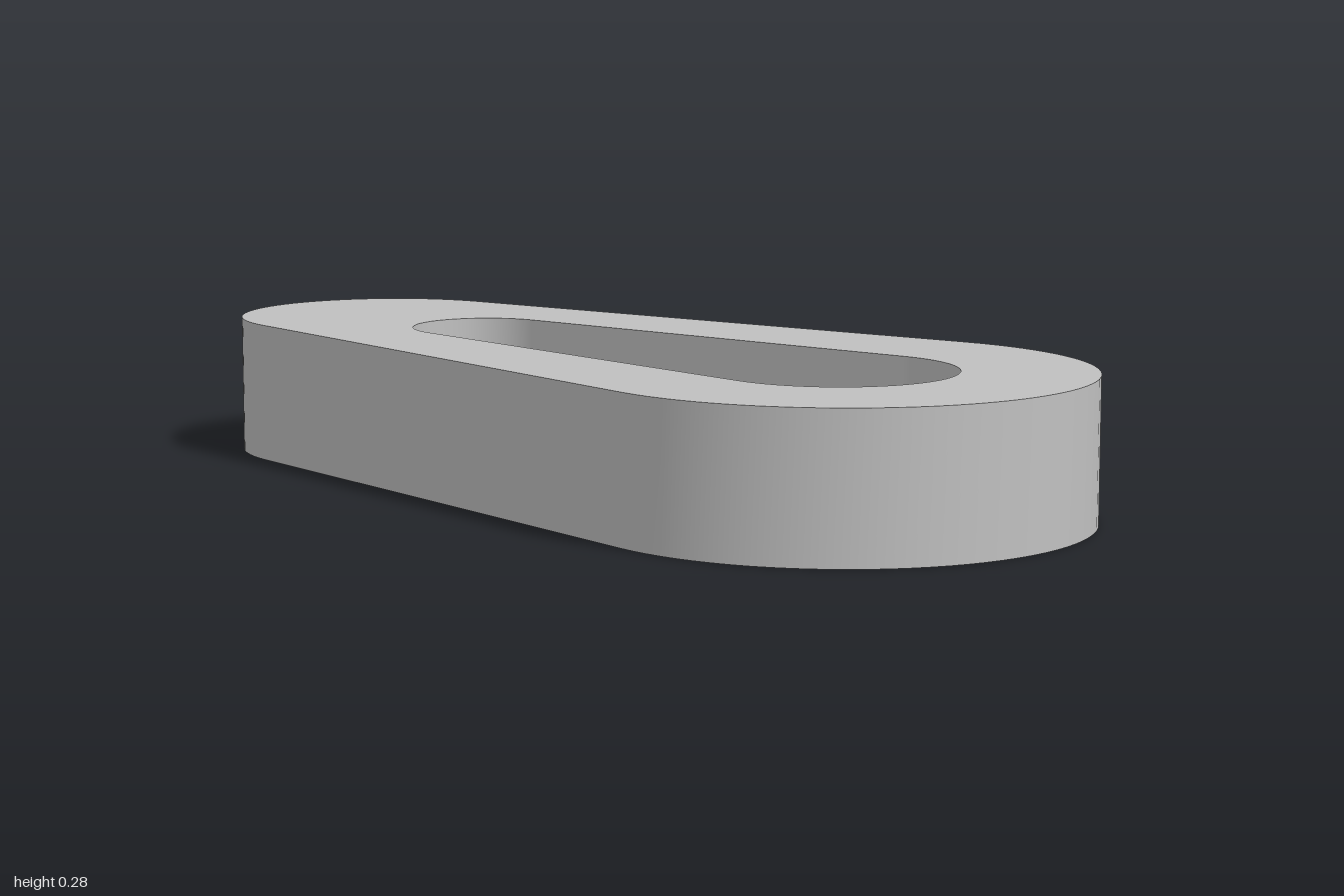
import * as THREE from 'three';

const HEIGHT = 0.275, FLOOR = 0.1375, BIG_X = 0.515;

// Outline of two circles joined by their outer tangents, counter-clockwise.
function teardrop(smallX, smallR, bigR, steps = 48) {
  const tangent = Math.acos((smallR - bigR) / (BIG_X - smallX));
  const points = [];
  const arc = (cx, r, from, to) => {
    for (let i = 0; i <= steps; i++) {
      const a = from + (to - from) * i / steps;
      points.push(new THREE.Vector2(cx + r * Math.cos(a), r * Math.sin(a)));
    }
  };
  arc(BIG_X, bigR, -tangent, tangent);
  arc(smallX, smallR, tangent, 2 * Math.PI - tangent);
  return points;
}

function circle(r, steps = 64) {
  return Array.from({ length: steps }, (_, i) => {
    const a = 2 * Math.PI * i / steps;
    return new THREE.Vector2(BIG_X + r * Math.cos(a), r * Math.sin(a));
  });
}

// Smooth vertical wall along a closed outline.
function wall(points, y0, y1, inward) {
  const positions = [], index = [], n = points.length;
  points.forEach((p, i) => {
    positions.push(p.x, y0, -p.y, p.x, y1, -p.y);
    const a = 2 * i, b = 2 * ((i + 1) % n);
    if (inward) index.push(a, b + 1, b, a, a + 1, b + 1);
    else index.push(a, b, b + 1, a, b + 1, a + 1);
  });
  const geometry = new THREE.BufferGeometry();
  geometry.setAttribute('position', new THREE.Float32BufferAttribute(positions, 3));
  geometry.setIndex(index);
  geometry.computeVertexNormals();
  return geometry;
}

// Flat horizontal face with an opening.
function face(outline, opening, y, up) {
  const shape = new THREE.Shape(outline);
  shape.holes.push(new THREE.Path(opening));
  return new THREE.ShapeGeometry(shape).rotateX(up ? -Math.PI / 2 : Math.PI / 2).translate(0, y, 0);
}

export function createModel() {
  const group = new THREE.Group();
  group.name = 'taperedLink';
  const material = new THREE.MeshStandardMaterial({ color: 0xc0c0c0 });
  material.name = 'light grey';
  const add = (name, geometry) => {
    const mesh = new THREE.Mesh(geometry, material);
    mesh.name = name;
    group.add(mesh);
  };

  const outer = teardrop(-0.7, 0.3, 0.485);
  const pocket = teardrop(-0.405, 0.145, 0.232);
  const hole = circle(0.168);

  // Body
  add('outerWall', wall(outer, 0, HEIGHT, false));
  add('topFace', face(outer, pocket, HEIGHT, true));
  add('bottomFace', face(outer, hole, 0, false));
  // Recess and through hole
  add('pocketWall', wall(pocket, FLOOR, HEIGHT, true));
  add('pocketFloor', face(pocket, hole, FLOOR, true));
  add('holeWall', wall(hole, 0, FLOOR, true));
  return group;
}
